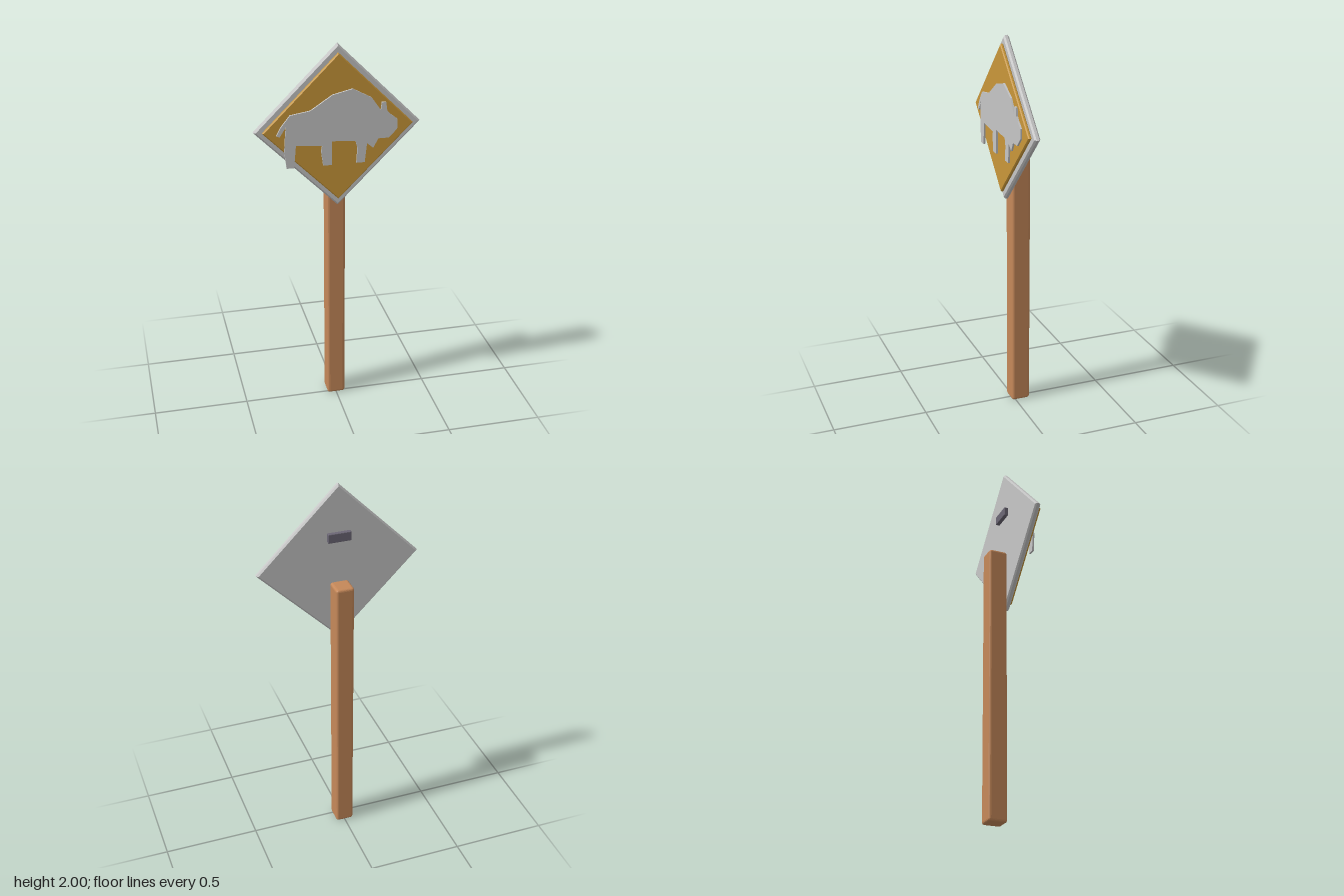
import * as THREE from 'three';
import { RoundedBoxGeometry } from 'three/addons/geometries/RoundedBoxGeometry.js';

const material = (name, color) => {
  const m = new THREE.MeshStandardMaterial({ color, flatShading: true });
  m.name = name;
  return m;
};

const SIGN_Y = 1.578;

export function createModel() {
  const wood = material('wood', 0xc58859);
  const metal = material('light grey metal', 0xc6c6c6);
  const gold = material('gold', 0xc99739);
  const darkMetal = material('dark grey metal', 0x6c6775);

  const group = new THREE.Group();
  group.name = 'animalSign';

  const add = (name, geometry, mat, x, y, z) => {
    const mesh = new THREE.Mesh(geometry, mat);
    mesh.name = name;
    mesh.position.set(x, y, z);
    group.add(mesh);
  };

  // Diamond plate with chamfered edges, from its back face at z = 0
  const diamond = (halfDiagonal, depth, bevel) => {
    const r = halfDiagonal - bevel * Math.SQRT2;
    const shape = new THREE.Shape([[r, 0], [0, r], [-r, 0], [0, -r]].map(([x, y]) => new THREE.Vector2(x, y)));
    return new THREE.ExtrudeGeometry(shape, {
      depth: depth - 2 * bevel, bevelEnabled: true, bevelThickness: bevel, bevelSize: bevel, bevelSegments: 1,
    }).translate(0, 0, bevel);
  };

  // Post and the bracket behind the sign
  add('post', new RoundedBoxGeometry(0.096, 1.482, 0.1, 2, 0.013), wood, 0, 0.741, -0.03);
  add('bracket', new RoundedBoxGeometry(0.12, 0.048, 0.022, 1, 0.003), darkMetal, 0, 1.728, 0.01);

  // Sign plates
  add('backPlate', diamond(0.422, 0.03, 0.008), metal, 0, SIGN_Y, 0.02);
  add('facePlate', diamond(0.381, 0.018, 0.005), gold, 0, SIGN_Y, 0.049);

  // Animal silhouette, from the tail along the legs to the head and back
  const outline = [
    [-0.313, -0.014], [-0.297, -0.02], [-0.265, 0.03], [-0.27, -0.025], [-0.275, -0.1],
    [-0.265, -0.188], [-0.228, -0.188], [-0.217, -0.07], [-0.085, -0.083], [-0.09, -0.115],
    [-0.08, -0.188], [-0.037, -0.188], [-0.037, -0.062], [0.085, -0.072], [0.095, -0.11],
    [0.09, -0.188], [0.132, -0.188], [0.143, -0.088], [0.175, -0.115], [0.201, -0.067],
    [0.254, -0.067], [0.297, -0.024], [0.297, 0.028], [0.26, 0.057], [0.244, 0.076],
    [0.238, 0.12], [0.217, 0.12], [0.212, 0.08], [0.165, 0.148], [0.069, 0.2],
    [-0.032, 0.176], [-0.143, 0.103], [-0.244, 0.087], [-0.29, 0.03],
  ];
  const animal = new THREE.Shape(outline.map(([x, y]) => new THREE.Vector2(x, y)));
  add('animal', new THREE.ExtrudeGeometry(animal, { depth: 0.0095, bevelEnabled: false }), metal, 0, SIGN_Y, 0.067);

  return group;
}
